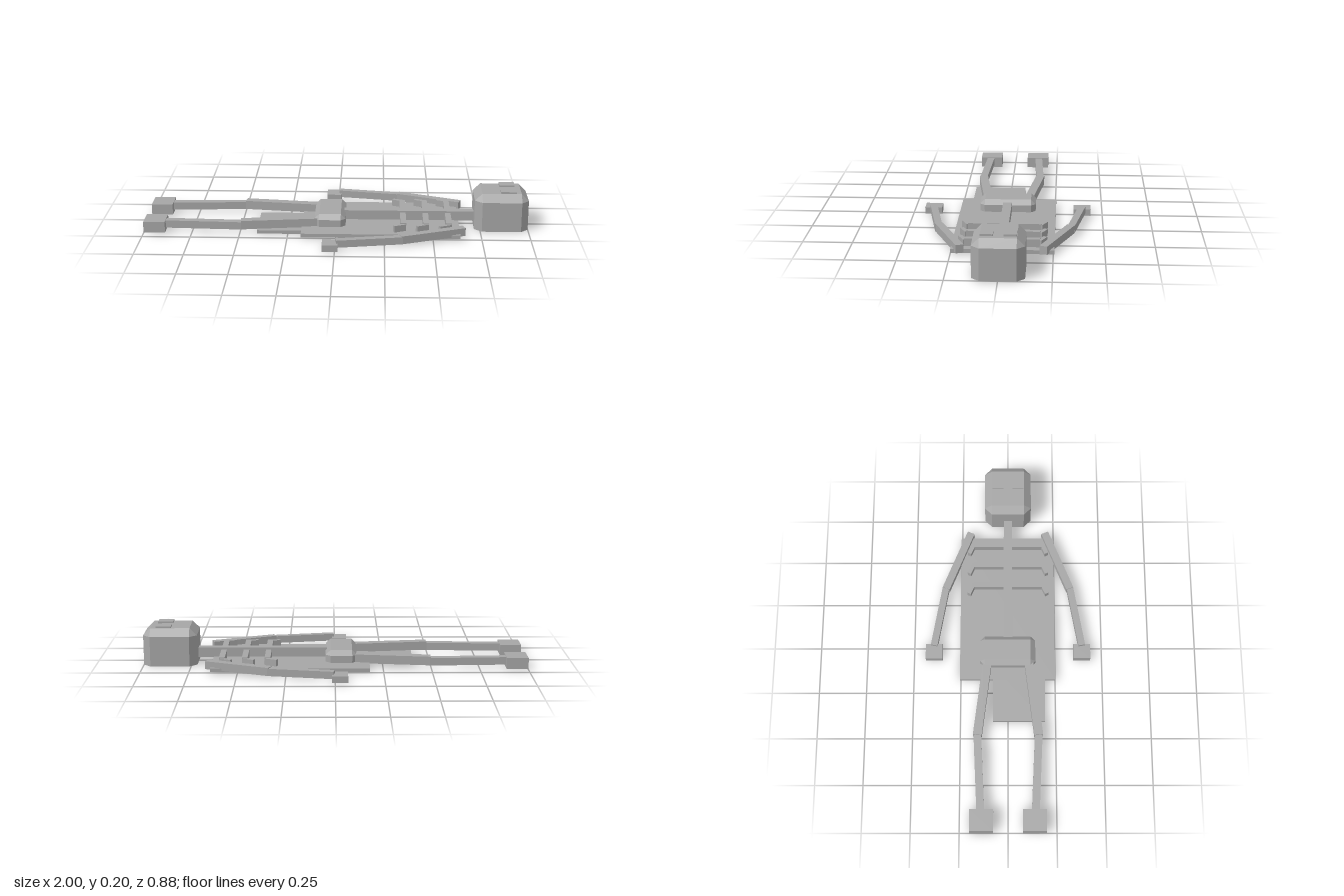
import * as THREE from 'three';

export function createModel() {
  const model = new THREE.Group();
  const bone = new THREE.MeshStandardMaterial({ color: 0xa6a6a6, side: THREE.DoubleSide, flatShading: true });
  bone.name = 'boneGrey';

  function add(name, geometry) {
    const mesh = new THREE.Mesh(geometry, bone);
    mesh.name = name;
    model.add(mesh);
    return mesh;
  }

  // Box without its underside, given by its limits
  function shell(name, x0, x1, y0, y1, z0, z1) {
    const g = new THREE.BoxGeometry(x1 - x0, y1 - y0, z1 - z0);
    const index = Array.from(g.index.array);
    index.splice(18, 6);
    g.setIndex(index);
    g.clearGroups();
    const mesh = add(name, g);
    mesh.position.set((x0 + x1) / 2, (y0 + y1) / 2, (z0 + z1) / 2);
    return mesh;
  }

  // Bar between two [x, z] points
  function bar(name, a, b, width, y0, y1) {
    const dx = b[0] - a[0], dz = b[1] - a[1], len = Math.hypot(dx, dz);
    const mesh = shell(name, -len / 2, len / 2, y0, y1, -width / 2, width / 2);
    mesh.position.x = (a[0] + b[0]) / 2;
    mesh.position.z = (a[1] + b[1]) / 2;
    mesh.rotation.y = Math.atan2(-dz, dx);
    return mesh;
  }

  // Block with cut corners and top edges, open below
  function bevelled(name, x0, x1, z0, z1, y1, c) {
    const ring = (y, px, pz) => [
      [x1 - px, z1], [x1, z1 - pz], [x1, z0 + pz], [x1 - px, z0],
      [x0 + px, z0], [x0, z0 + pz], [x0, z1 - pz], [x0 + px, z1],
    ].map(([x, z]) => [x, y, z]);
    const low = ring(0, c, c), mid = ring(y1 - c, c, c);
    const top = [[x1 - c, y1, z1 - c], [x1 - c, y1, z0 + c], [x0 + c, y1, z0 + c], [x0 + c, y1, z1 - c]];
    const p = [];
    const tri = (a, b, d) => p.push(...a, ...b, ...d);
    const quad = (a, b, d, e) => { tri(a, b, d); tri(a, d, e); };
    for (let i = 0; i < 8; i++) {
      const j = (i + 1) % 8;
      quad(low[i], low[j], mid[j], mid[i]);
      const a = top[i >> 1];
      if (i % 2 === 0) tri(mid[i], mid[j], a);
      else quad(mid[i], mid[j], top[((i + 1) >> 1) % 4], a);
    }
    quad(top[0], top[1], top[2], top[3]);
    const g = new THREE.BufferGeometry();
    g.setAttribute('position', new THREE.Float32BufferAttribute(p, 3));
    g.computeVertexNormals();
    return add(name, g);
  }

  // Head, pelvis and spine
  bevelled('head', 0.72, 1.0, -0.125, 0.125, 0.196, 0.038);
  bevelled('pelvis', -0.115, 0.048, -0.148, 0.145, 0.087, 0.025);
  shell('spine', 0.04, 0.72, 0.024, 0.075, -0.023, 0.023);

  // Cloth lying beneath the body
  shell('mainCloth', -0.18, 0.64, 0.005, 0.025, -0.255, 0.25);
  shell('lowerCloth', -0.41, -0.1, 0.003, 0.021, -0.08, 0.195);

  for (const s of [-1, 1]) {
    const side = s > 0 ? 'front' : 'rear';

    // Eyes
    shell(side + 'Eye', 0.855, 0.935, 0.196, 0.205, s * 0.055 - 0.03, s * 0.055 + 0.03);

    // Ribs with their bent tips
    for (let i = 0; i < 3; i++) {
      const x = 0.348 + i * 0.118;
      bar(side + 'Rib', [x, s * 0.02], [x, s * 0.185], 0.03, 0.026, 0.065);
      bar(side + 'RibTip', [x + 0.01, s * 0.182], [x - 0.05, s * 0.21], 0.02, 0.012, 0.06);
    }

    // Arm and hand
    bar(side + 'UpperArm', [0.66, s * 0.202], [0.33, s * 0.335], 0.04, 0.012, 0.054);
    bar(side + 'Forearm', [0.34, s * 0.335], [0.005, s * 0.394], 0.036, 0.012, 0.05);
    shell(side + 'Hand', -0.065, 0.015, 0, 0.034, s * 0.394 - 0.045, s * 0.394 + 0.045);

    // Leg and foot
    bar(side + 'Thigh', [-0.08, s * 0.108], [-0.495, s * 0.16], 0.046, 0.02, 0.066);
    bar(side + 'Shin', [-0.485, s * 0.16], [-0.89, s * 0.142], 0.04, 0.018, 0.058);
    shell(side + 'Foot', -1.0, -0.888, 0.004, 0.062, s * 0.137 - 0.061, s * 0.137 + 0.061);
  }

  return model;
}
